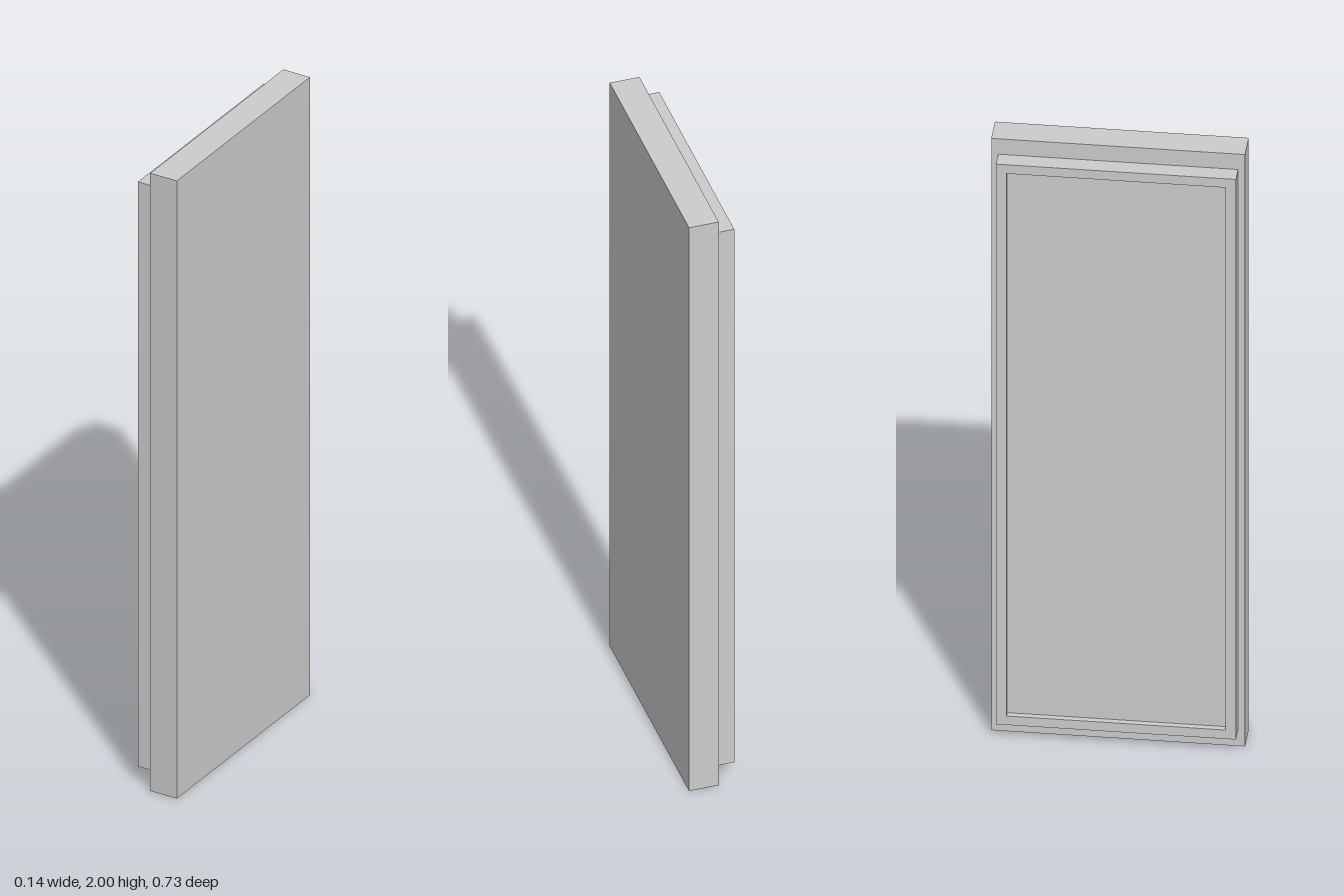
import * as THREE from 'three';

const material = new THREE.MeshStandardMaterial({ color: 0xcccccc, flatShading: true });

// Box given by its x range, y range and half depth in z
function slab(name, x0, x1, y0, y1, halfZ) {
  const mesh = new THREE.Mesh(new THREE.BoxGeometry(x1 - x0, y1 - y0, halfZ * 2), material);
  mesh.position.set((x0 + x1) / 2, (y0 + y1) / 2, 0);
  mesh.name = name;
  return mesh;
}

// Rectangle outline, half width w and half height h
function rectangle(Type, w, h) {
  const path = new Type();
  path.moveTo(-w, -h);
  path.lineTo(w, -h);
  path.lineTo(w, h);
  path.lineTo(-w, h);
  path.closePath();
  return path;
}

export function createModel() {
  const model = new THREE.Group();
  model.name = 'door';

  const seam = -0.018, back = -0.071, recess = 0.018, border = 0.03;
  const halfZ = 0.344, bottom = 0.055, top = 1.948;

  // Main door slab
  model.add(slab('outerPanel', seam, 0.071, 0, 2, 0.364));

  // Smaller inner panel, its face sunk behind the raised rim
  model.add(slab('innerPanel', back + recess, seam, bottom, top, halfZ));

  // Raised rim around the inner panel
  const halfY = (top - bottom) / 2;
  const outline = rectangle(THREE.Shape, halfZ, halfY);
  outline.holes.push(rectangle(THREE.Path, halfZ - border, halfY - border));
  const geometry = new THREE.ExtrudeGeometry(outline, { depth: recess, bevelEnabled: false });
  geometry.rotateY(Math.PI / 2);
  const rim = new THREE.Mesh(geometry, material);
  rim.position.set(back, (bottom + top) / 2, 0);
  rim.name = 'raisedRim';
  model.add(rim);

  return model;
}
